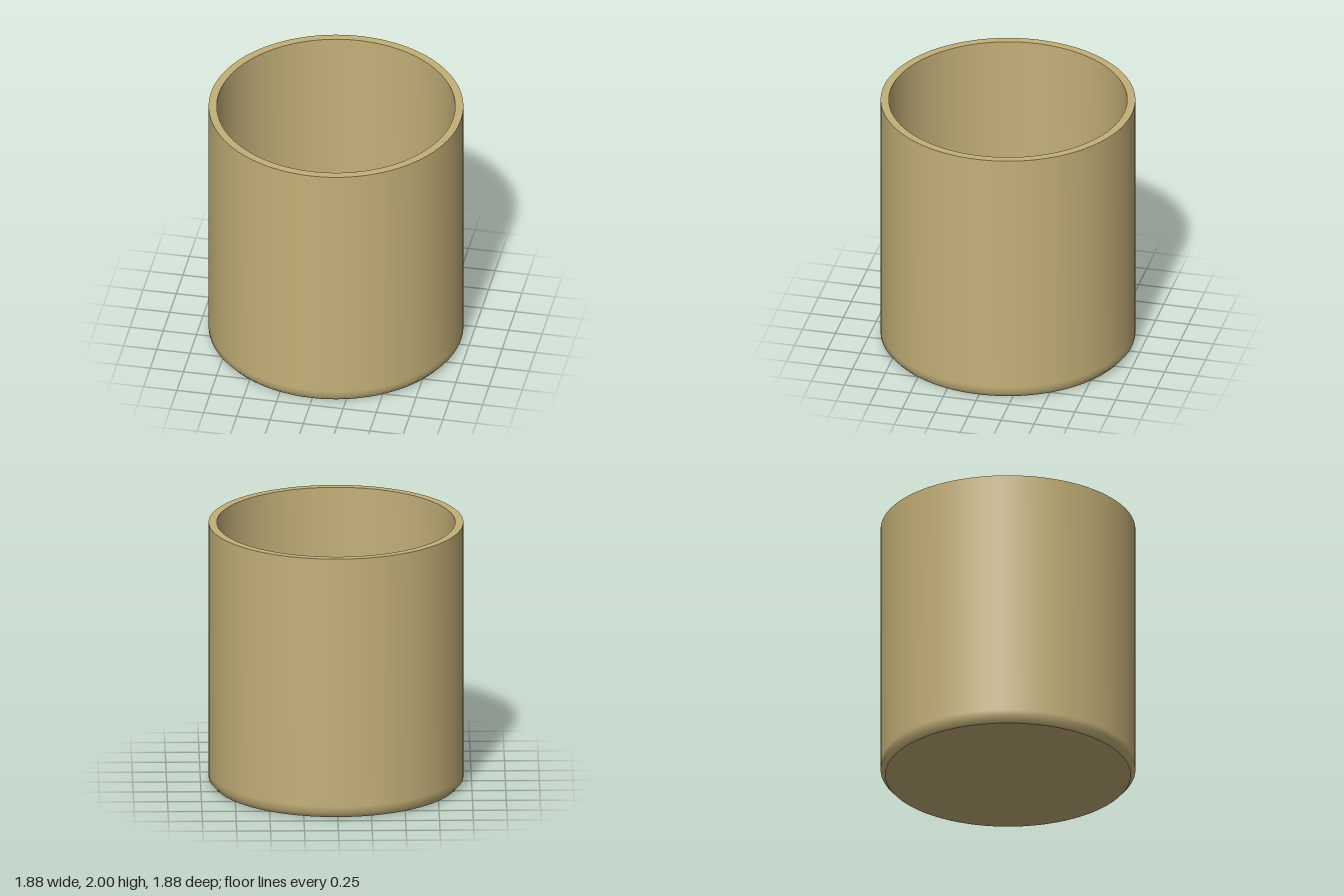
import * as THREE from 'three';
import { toCreasedNormals } from 'three/addons/utils/BufferGeometryUtils.js';

export function createModel() {
  const group = new THREE.Group();
  const material = new THREE.MeshStandardMaterial({ color: 0xc4b078 });

  // Closed wall profile: underside, outer chamfer, outer wall, rim, inner wall, floor
  const profile = [
    [0, 0], [0.905, 0], [0.94, 0.04], [0.94, 0.09], [0.94, 2],
    [0.88, 2], [0.88, 0.17], [0.88, 0.12], [0.84, 0.06], [0, 0.06],
  ].map(([r, y]) => new THREE.Vector2(r, y));

  // Chamfers blend into the walls; rim, floor and underside stay sharp
  const geometry = toCreasedNormals(
    new THREE.LatheGeometry(profile, 128),
    THREE.MathUtils.degToRad(45)
  );
  const cup = new THREE.Mesh(geometry, material);
  cup.name = 'cup';
  group.add(cup);
  return group;
}
